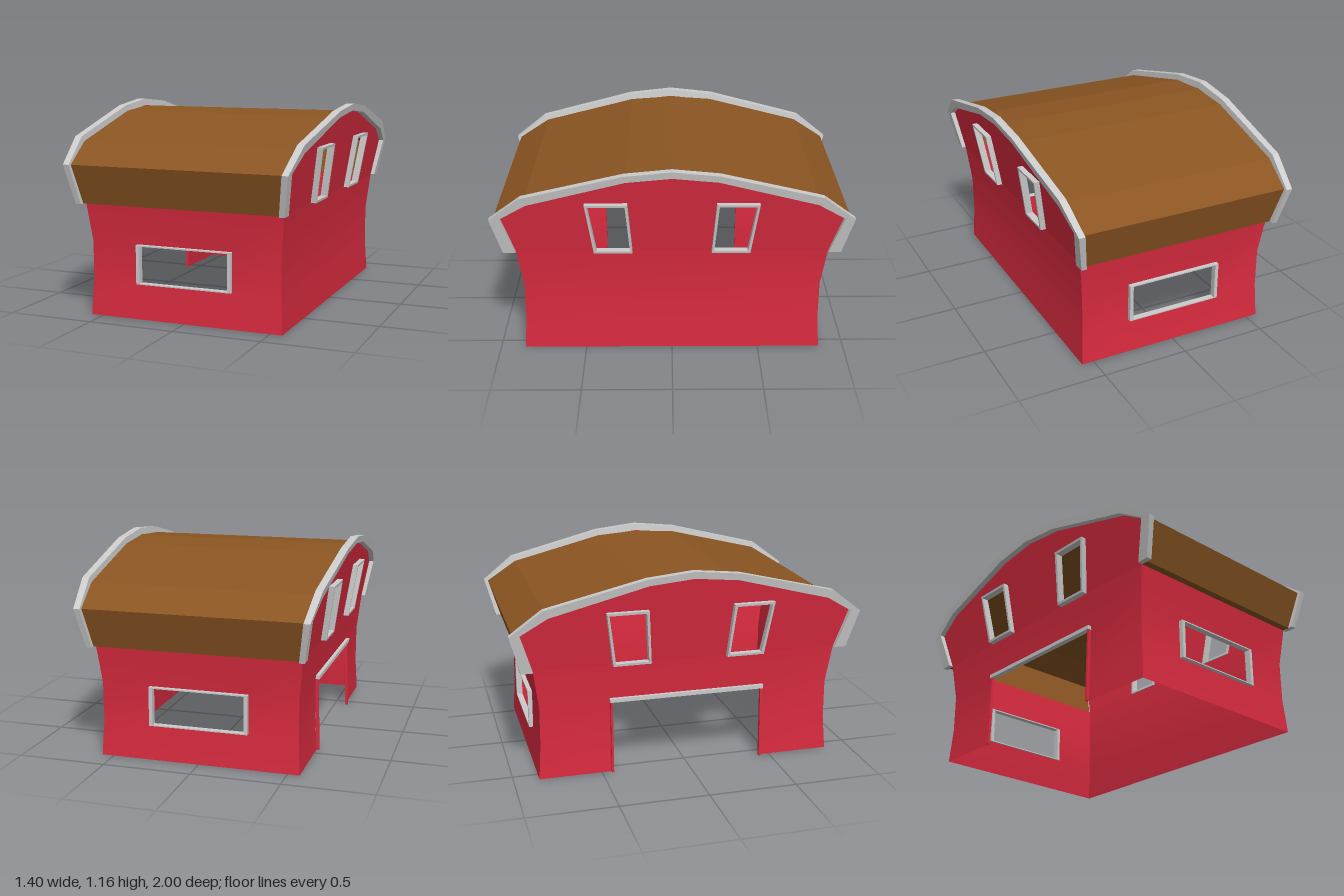
import * as THREE from 'three';

const RED = 0xd92b3f, BROWN = 0x8b5522, GREY = 0xcccccc;
const material = (color) => new THREE.MeshStandardMaterial({ color, side: THREE.DoubleSide });
const red = material(RED), brown = material(BROWN), grey = material(GREY);

// Waisted lower wall: half width (x) and half length (z) at each height
const ROWS = [
  { y: 0, x: 0.568, z: 0.857 },
  { y: 0.2, x: 0.557, z: 0.843 },
  { y: 0.42, x: 0.558, z: 0.842 },
  { y: 0.64, x: 0.581, z: 0.872 },
];
const EAVE = 0.64;
const DOOR = 0.44;

const gableX = (y) => 0.581 + 0.155 * (y - EAVE);
const trimIn = (y) => 0.575 + 0.152 * (y - EAVE);
const trimOut = (y) => 0.605 + 0.18 * (y - EAVE);

// Half profiles of the arched roof line, from eave to ridge, as [z, y]
const GABLE = [[0.872, 0.64], [0.942, 0.865], [0.792, 0.955], [0.25, 1.1], [0, 1.125]];
const TRIM = [[0.94, 0.64], [1, 0.862], [0.82, 1.0], [0.26, 1.138], [0, 1.165]];
const ROOF_OUT = [[0.912, 0.64], [0.978, 0.86], [0.8, 0.972], [0.25, 1.105], [0, 1.122]];
const ROOF_IN = [[0.872, 0.64], [0.942, 0.86], [0.79, 0.945], [0.25, 1.083], [0, 1.103]];

const vectors = (points) => points.map(([u, v]) => new THREE.Vector2(u, v));
// Full arch, right eave to left eave (counter-clockwise)
const arch = (half) => [...half, ...half.slice(0, -1).reverse().map(([u, v]) => [-u, v])];
const band = (outer, inner) => new THREE.Shape(vectors([...arch(outer), ...arch(inner).reverse()]));

function mesh(name, geometry, mat) {
  const m = new THREE.Mesh(geometry, mat);
  m.name = name;
  return m;
}

// Move every vertex by a rule (x, y, z) => [x, y, z]
function warp(geometry, rule) {
  const p = geometry.attributes.position;
  for (let i = 0; i < p.count; i++) p.setXYZ(i, ...rule(p.getX(i), p.getY(i), p.getZ(i)));
  geometry.computeVertexNormals();
  return geometry;
}

// Grid of quads over the wall rows; skip(row, column) leaves an opening
function wallGrid(columns, point, skip) {
  const position = [], index = [];
  const n = columns.length;
  ROWS.forEach((row) => columns.forEach((c) => position.push(...point(row, c))));
  for (let i = 0; i < ROWS.length - 1; i++) {
    for (let j = 0; j < n - 1; j++) {
      if (skip(i, j)) continue;
      const a = i * n + j;
      index.push(a, a + 1, a + n + 1, a, a + n + 1, a + n);
    }
  }
  const g = new THREE.BufferGeometry();
  g.setAttribute('position', new THREE.Float32BufferAttribute(position, 3));
  g.setIndex(index);
  g.computeVertexNormals();
  return g;
}

// Extruded ring between an outer and an inner outline
function ring(outer, inner, depth) {
  const shape = new THREE.Shape(vectors(outer));
  shape.holes.push(new THREE.Path(vectors(inner)));
  return new THREE.ExtrudeGeometry(shape, { depth, bevelEnabled: false });
}

const rect = (w, y0, y1) => [[-w, y0], [w, y0], [w, y1], [-w, y1]];

// Slanted side window, s = -1 or 1 for its place along the wall
const sideWindow = (s, t) => [
  [s * (0.22 + t), 0.64 + t], [s * (0.435 - t), 0.64 + t],
  [s * (0.477 - t), 0.955 - t], [s * (0.243 + t), 0.955 - t],
];

// End wall facing +z with a wide framed window
function createEnd(name) {
  const group = new THREE.Group();
  group.name = name;
  const wall = wallGrid([-1, -0.27, 0.27, 1],
    (row, c) => [Math.abs(c) === 1 ? c * row.x : c, row.y, row.z],
    (i, j) => i === 1 && j === 1);
  group.add(mesh('endWall', wall, red));
  const frame = ring(rect(0.28, 0.2, 0.42), rect(0.26, 0.206, 0.413), 0.035);
  frame.translate(0, 0, 0.832);
  group.add(mesh('endWindowFrame', frame, grey));
  return group;
}

// Side wall facing +x, with gable, windows and optional doorway
function createSide(name, hasDoor) {
  const group = new THREE.Group();
  group.name = name;
  const lower = wallGrid([-1, -DOOR, DOOR, 1],
    (row, c) => [row.x, row.y, -(Math.abs(c) === 1 ? c * row.z : c)],
    (i, j) => hasDoor && i < 2 && j === 1);
  group.add(mesh('lowerSideWall', lower, red));

  const shape = new THREE.Shape(vectors(arch(GABLE)));
  for (const s of [-1, 1]) {
    shape.holes.push(new THREE.Path(vectors(sideWindow(s, 0.006))));
    const frame = warp(ring(sideWindow(s, 0), sideWindow(s, 0.014), 0.04),
      (x, y, z) => [gableX(y) - 0.008 + z, y, -x]);
    group.add(mesh('sideWindowFrame', frame, grey));
  }
  const gable = warp(new THREE.ShapeGeometry(shape), (x, y) => [gableX(y), y, -x]);
  group.add(mesh('gableWall', gable, red));

  // Bargeboard following the roof line
  const board = warp(
    new THREE.ExtrudeGeometry(band(TRIM, GABLE), { depth: 1, bevelEnabled: false }),
    (x, y, t) => [THREE.MathUtils.lerp(trimIn(y), trimOut(y), t), y, -x]);
  group.add(mesh('bargeboard', board, grey));

  if (hasDoor) {
    const header = new THREE.BoxGeometry(0.03, 0.022, 2 * DOOR + 0.02);
    header.translate(0.566, 0.43, 0);
    group.add(mesh('doorHeader', header, grey));
    for (const s of [-1, 1]) {
      // Jamb leaning with the wall
      const jamb = warp(new THREE.BoxGeometry(0.018, 0.42, 0.012),
        (x, y, z) => [0.575 + x - 0.01 * (y + 0.21) / 0.42, y + 0.21, z + s * DOOR]);
      group.add(mesh('doorJamb', jamb, red));
    }
  }
  return group;
}

export function createModel() {
  const model = new THREE.Group();
  model.name = 'wagonCabin';

  const back = createEnd('backEnd');
  back.rotation.y = Math.PI;
  const rightSide = createSide('doorSide', true);
  rightSide.rotation.y = Math.PI;
  model.add(createEnd('frontEnd'), back, createSide('closedSide', false), rightSide);

  // Arched roof shell, widening upward to meet the bargeboards
  const roof = warp(
    new THREE.ExtrudeGeometry(band(ROOF_OUT, ROOF_IN), { depth: 2, bevelEnabled: false }),
    (x, y, z) => [(z - 1) * (trimIn(y) + 0.006), y, -x]);
  model.add(mesh('roof', roof, brown));
  return model;
}
